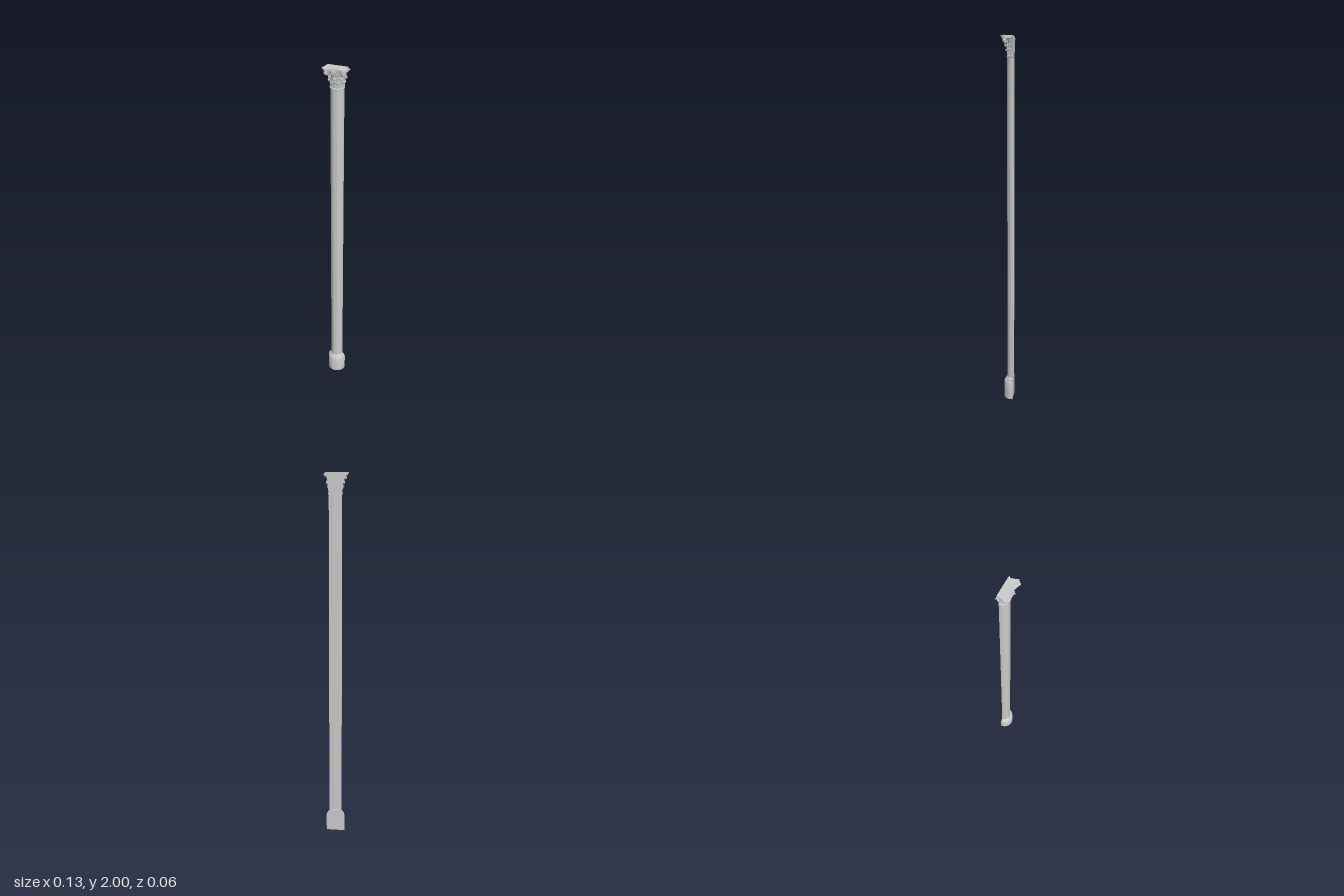
import * as THREE from 'three';
import { toCreasedNormals, mergeGeometries } from 'three/addons/utils/BufferGeometryUtils.js';

const material = new THREE.MeshStandardMaterial({ color: 0xcccccc, side: THREE.DoubleSide });
const V2 = (p) => new THREE.Vector2(p[0], p[1]);

export function createModel() {
  const column = new THREE.Group();
  column.name = 'engagedHalfColumn';
  column.position.z = -0.032; // wall plane sits at local z = 0

  const add = (name, geometry, parent = column) => {
    const mesh = new THREE.Mesh(geometry, material);
    mesh.name = name;
    parent.add(mesh);
    return mesh;
  };

  // Flatten everything behind the wall plane onto it
  const clipToWall = (geometry) => {
    const p = geometry.attributes.position;
    for (let i = 0; i < p.count; i++) if (p.getZ(i) < 0) p.setZ(i, 0);
    geometry.computeVertexNormals();
    return geometry;
  };

  // Flat symmetrical plate on the wall plane, facing backwards
  const backPlate = (profile) => {
    const outline = [...profile, ...profile.map(([x, y]) => [-x, y]).reverse()];
    return new THREE.ShapeGeometry(new THREE.Shape(outline.map(V2))).rotateY(Math.PI);
  };

  // Half turning with its flat back
  const halfTurned = (name, profile, parent = column) => {
    const lathe = new THREE.LatheGeometry(profile.map(V2), 32, -Math.PI / 2, Math.PI);
    add(name, toCreasedNormals(lathe, 0.6), parent);
    add(name + 'Back', backPlate(profile.filter(([r]) => r > 0)), parent);
  };

  // Plinth drum and base mouldings
  halfTurned('plinth', [[0, 0], [0.051, 0], [0.051, 0.094], [0.049, 0.1], [0.044, 0.102], [0, 0.102]]);
  halfTurned('baseMoulding', [[0.042, 0.102], [0.0445, 0.105], [0.0445, 0.109], [0.042, 0.112],
    [0.039, 0.113], [0.038, 0.117], [0.035, 0.122], [0, 0.122]]);

  // Half-round shaft with a channel in its back
  const R = 0.035, C = 0.02, D = 0.013;
  const section = new THREE.Shape();
  section.moveTo(R, 0);
  section.absarc(0, 0, R, 0, -Math.PI, true);
  section.lineTo(-C, 0);
  section.lineTo(-C, -D);
  section.lineTo(C, -D);
  section.lineTo(C, 0);
  const shaft = new THREE.ExtrudeGeometry(section, { depth: 1.772, bevelEnabled: false, curveSegments: 32 });
  add('shaft', toCreasedNormals(shaft.rotateX(-Math.PI / 2), 0.6)).position.y = 0.118;

  // Capital: neck ring, bell and flat back
  const capital = new THREE.Group();
  capital.name = 'capital';
  column.add(capital);
  halfTurned('neckRing', [[0, 1.887], [0.035, 1.887], [0.038, 1.889], [0.039, 1.892], [0.038, 1.895], [0.035, 1.897], [0, 1.897]], capital);
  halfTurned('bell', [[0.034, 1.895], [0.034, 1.93], [0.036, 1.955], [0.04, 1.972], [0.047, 1.986], [0, 1.986]], capital);
  add('capitalBack', backPlate([[0.036, 1.89], [0.038, 1.915], [0.043, 1.925], [0.04, 1.935],
    [0.046, 1.953], [0.043, 1.962], [0.051, 1.99]]), capital);

  // Acanthus leaf: a lobed sheet climbing the bell, tip curling outward
  const leaf = (angle, height, width, reach) => {
    const spine = new THREE.CatmullRomCurve3([[0.0355, 0], [0.0365, 0.4], [0.0385, 0.75], [0.039 + reach * 0.5, 0.97],
      [0.039 + reach, 0.95], [0.039 + reach, 0.8]].map(([r, t]) => new THREE.Vector3(r, 1.896 + t * height, 0)));
    const g = new THREE.PlaneGeometry(2, 1, 12, 18);
    const p = g.attributes.position;
    for (let i = 0; i < p.count; i++) {
      const s = p.getX(i), t = p.getY(i) + 0.5;
      const c = spine.getPoint(t);
      const w = width * (0.8 + 0.3 * Math.sin(Math.PI * t)) * (1 - 0.55 * t ** 4) * (0.87 + 0.13 * Math.cos(t * 26));
      const r = c.x + 0.0011 * Math.cos(s * Math.PI * 3) - 0.002 * s * s * t;
      const a = angle + (s * w) / 0.038;
      p.setXYZ(i, r * Math.sin(a), c.y - 0.004 * s * s * t, r * Math.cos(a));
    }
    return clipToWall(g);
  };
  const lower = [], upper = [];
  for (let i = -4; i <= 4; i++) {
    const row = i % 2 === 0 ? upper : lower;
    row.push(leaf((i * Math.PI) / 8, i % 2 === 0 ? 0.06 : 0.036, 0.0125, i % 2 === 0 ? 0.009 : 0.007));
  }
  add('lowerLeaves', mergeGeometries(lower), capital);
  add('upperLeaves', mergeGeometries(upper), capital);

  // Scroll: a stem that rises and winds into a tapering spiral
  const scroll = (angle, u, y, radius, thick, stemU, stemY) => {
    const pts = [new THREE.Vector3(0, stemY, stemU), new THREE.Vector3(0, (stemY + y) / 2 + 0.002, stemU + 0.002)];
    for (let k = 0; k <= 20; k++) {
      const a = Math.PI * 0.8 - (k / 20) * Math.PI * 3.4;
      const r = radius * (1 - 0.85 * (k / 20));
      pts.push(new THREE.Vector3(0, y + r * Math.sin(a), u + r * Math.cos(a)));
    }
    const tube = new THREE.TubeGeometry(new THREE.CatmullRomCurve3(pts), 70, thick, 6);
    const eye = new THREE.SphereGeometry(thick * 1.5, 8, 6).translate(0, y, u);
    return mergeGeometries([tube, eye]).rotateY(angle);
  };
  const corners = [], inner = [];
  for (const side of [-1, 1]) {
    for (const splay of [-0.07, 0.07]) {
      corners.push(scroll(side * Math.PI / 4 + splay, 0.061, 1.973, 0.0105, 0.0024, 0.04, 1.94));
    }
    // Small scrolls curling toward the middle of each face
    for (const [x, turn] of [[0.011 * side, 0], [0.011, side * Math.PI / 2]]) {
      const flip = turn === 0 ? side : -side;
      const g = scroll(0, 0, 1.973, 0.0065, 0.0016, -0.009, 1.948).rotateY(flip > 0 ? -Math.PI / 2 : Math.PI / 2);
      g.translate(turn === 0 ? x : -flip * -0.011, 0, 0.046).rotateY(turn);
      inner.push(clipToWall(g));
    }
  }
  add('cornerVolutes', mergeGeometries(corners), capital);
  add('innerScrolls', mergeGeometries(inner), capital);

  // Abacus: concave sides and cut corners, in two steps
  const abacus = (name, k, y, depth) => {
    const s = new THREE.Shape();
    s.moveTo(-0.051 * k, 0);
    s.quadraticCurveTo(-0.052 * k, -0.026 * k, -0.0635 * k, -0.0455 * k);
    s.lineTo(-0.0465 * k, -0.0635 * k);
    s.quadraticCurveTo(-0.025 * k, -0.051 * k, 0, -0.051 * k);
    s.quadraticCurveTo(0.025 * k, -0.051 * k, 0.0465 * k, -0.0635 * k);
    s.lineTo(0.0635 * k, -0.0455 * k);
    s.quadraticCurveTo(0.052 * k, -0.026 * k, 0.051 * k, 0);
    const g = new THREE.ExtrudeGeometry(s, { depth, bevelEnabled: false, curveSegments: 10 });
    add(name, toCreasedNormals(g.rotateX(-Math.PI / 2), 0.6), capital).position.y = y;
  };
  abacus('abacusLower', 0.93, 1.985, 0.008);
  abacus('abacusTop', 1, 1.992, 0.008);

  // Flower on the middle of each abacus face
  const flowers = [];
  for (const turn of [-Math.PI / 2, 0, Math.PI / 2]) {
    const parts = [new THREE.SphereGeometry(0.0045, 10, 8).translate(0, 1.988, 0.059)];
    for (let k = 0; k < 6; k++) {
      const petal = new THREE.SphereGeometry(1, 8, 6).scale(0.0035, 0.0055, 0.004);
      parts.push(petal.translate(0, 0.0065, 0).rotateZ((k * Math.PI) / 3 + Math.PI / 6).translate(0, 1.987, 0.053));
    }
    flowers.push(clipToWall(mergeGeometries(parts).rotateY(turn)));
  }
  add('abacusFlowers', mergeGeometries(flowers), capital);

  return column;
}
